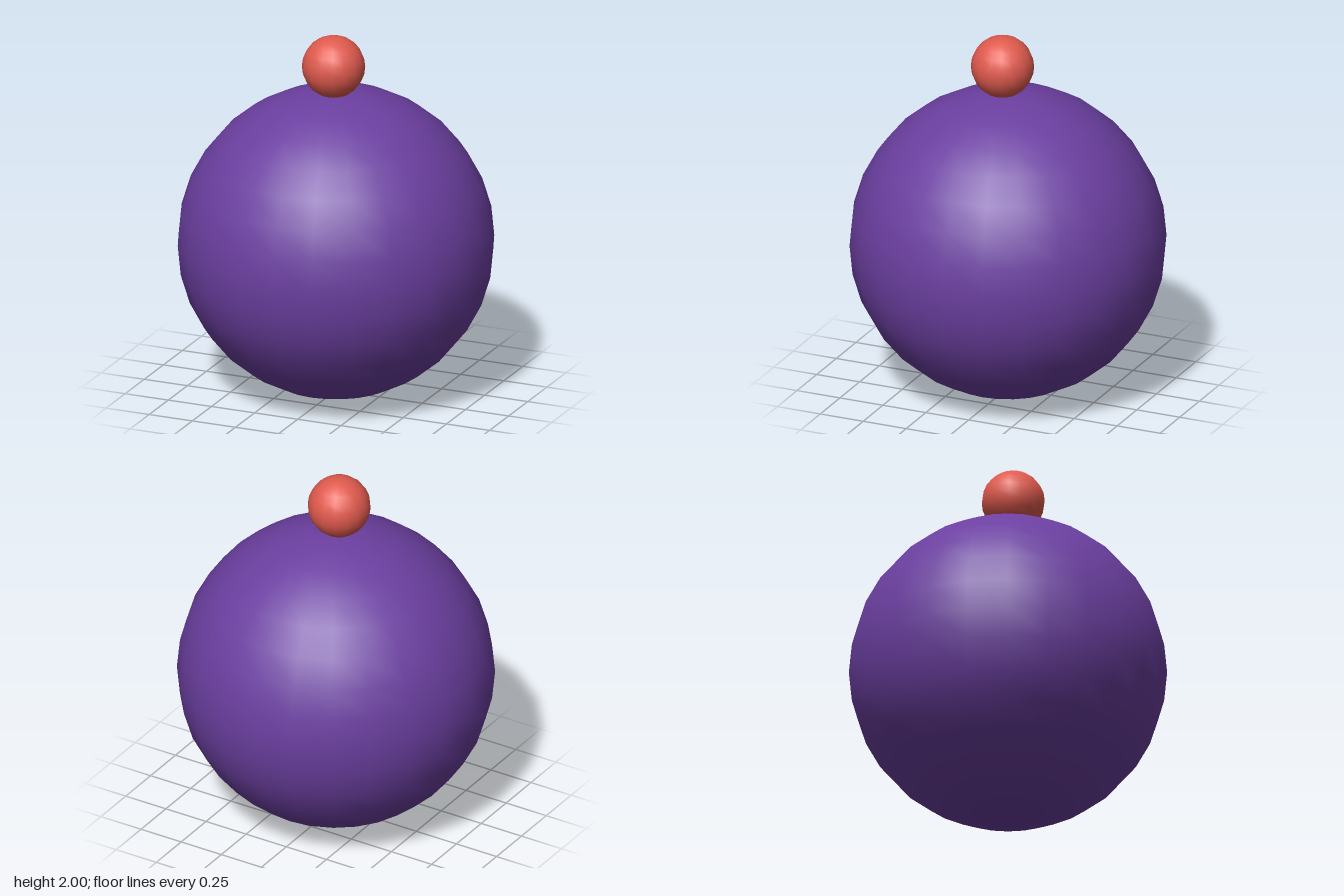
import * as THREE from 'three';

// Smooth-shaded ball with a chosen number of segments
function ball(name, radius, widthSegments, heightSegments, color, y, z) {
  const mesh = new THREE.Mesh(
    new THREE.SphereGeometry(radius, widthSegments, heightSegments),
    new THREE.MeshStandardMaterial({ color })
  );
  mesh.name = name;
  mesh.position.set(0, y, z);
  return mesh;
}

export function createModel() {
  const model = new THREE.Group();
  model.name = 'ballWithTopKnob';

  // Large round body resting on the ground
  model.add(ball('body', 0.843, 24, 16, 0x6b3fa0, 0.844, 0));

  // Small knob sunk slightly into the top, a little towards the front
  model.add(ball('topKnob', 0.168, 16, 12, 0xe05a4e, 1.832, 0.032));

  return model;
}
